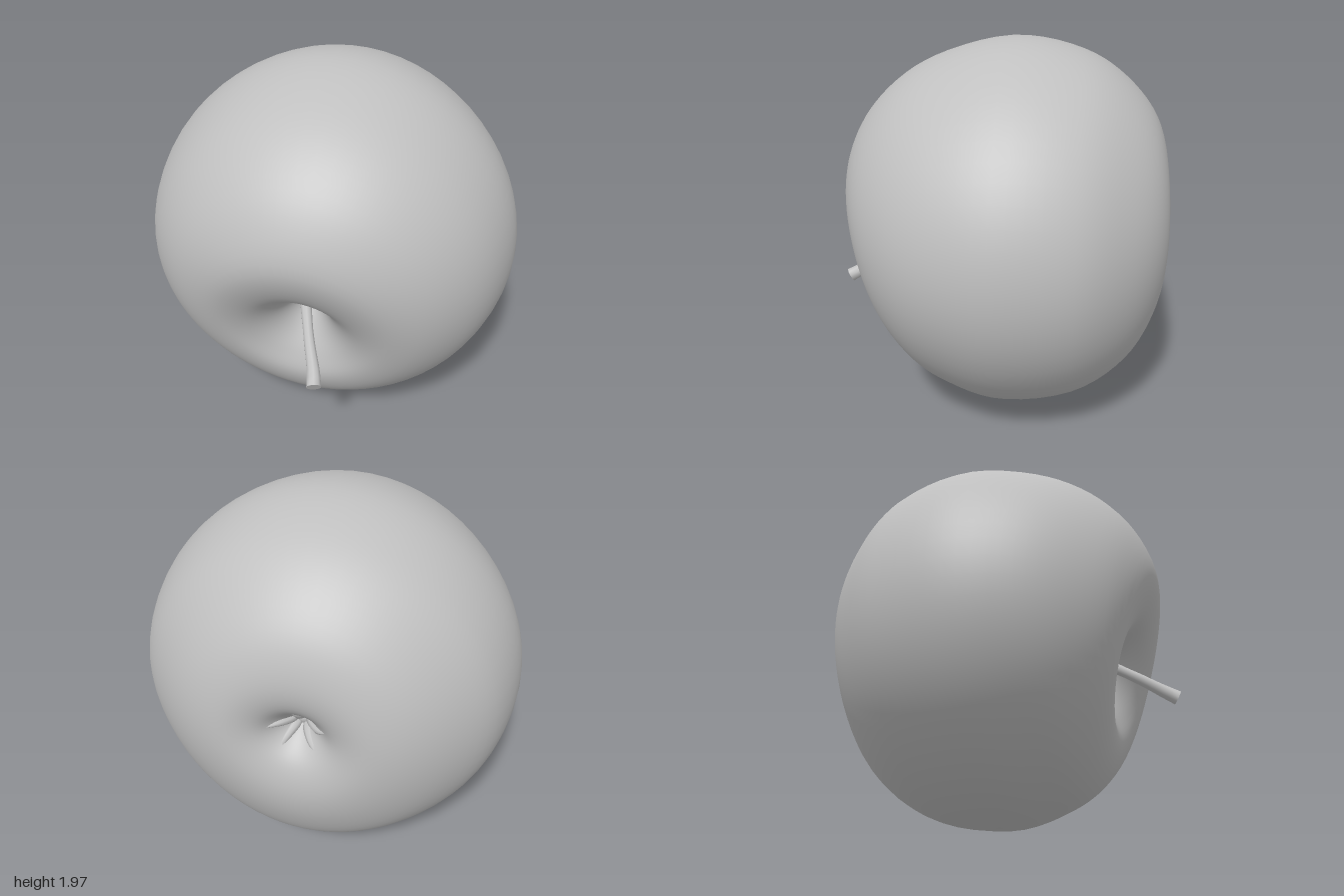
import * as THREE from 'three';

const V = (x, y, z) => new THREE.Vector3(x, y, z);
const SEG = 64, RINGS = 72;

// Three meridians from the stem pit to the calyx pit, as [z, y] or [z, half width]
const TOP = [[.36, .85], [.48, .9], [.62, .96], [.74, 1.06], [.82, 1.27], [.74, 1.53], [.56, 1.74], [.32, 1.88],
  [-.07, 1.97], [-.43, 1.9], [-.64, 1.77], [-.8, 1.58], [-.86, 1.38], [-.84, 1.23], [-.76, 1.13], [-.64, 1.04]];
const SIDE = [[.36, 0], [.46, .07], [.56, .16], [.64, .29], [.68, .45], [.63, .63], [.46, .82], [.24, .94],
  [-.07, 1], [-.43, .92], [-.65, .75], [-.81, .54], [-.87, .35], [-.84, .2], [-.76, .1], [-.64, 0]];
const BOTTOM = [[.36, .85], [.42, .76], [.48, .65], [.53, .53], [.55, .41], [.5, .28], [.39, .16], [.25, .08],
  [-.02, 0], [-.43, .06], [-.7, .25], [-.83, .49], [-.87, .7], [-.84, .86], [-.76, .96], [-.64, 1.04]];

// Smooth indexed surface from loops of points; each loop is closed
function skin(rows, seg) {
  const pos = [], idx = [];
  rows.forEach(row => row.forEach(p => pos.push(p.x, p.y, p.z)));
  for (let i = 0; i < rows.length - 1; i++) {
    for (let j = 0; j < seg; j++) {
      const a = i * seg + j, b = i * seg + (j + 1) % seg, c = a + seg, d = b + seg;
      idx.push(a, c, b, b, c, d);
    }
  }
  const g = new THREE.BufferGeometry();
  g.setAttribute('position', new THREE.Float32BufferAttribute(pos, 3));
  g.setIndex(idx);
  g.computeVertexNormals();
  return g;
}

function fruitGeometry() {
  const [top, side, bottom] = [TOP, SIDE, BOTTOM].map(m => new THREE.CatmullRomCurve3(m.map(([z, y]) => V(0, y, z))));
  const rows = [];
  for (let i = 0; i <= RINGS; i++) {
    const u = i / RINGS, t = top.getPoint(u), s = side.getPoint(u), b = bottom.getPoint(u);
    const mid = (t.y + b.y) / 2, half = (t.y - b.y) / 2, row = [];
    for (let j = 0; j < SEG; j++) {
      const a = j / SEG * Math.PI * 2, sn = Math.sin(a);
      // Barely flattened diagonals
      const k = 1 - .01 * Math.sin(2 * a) ** 2;
      row.push(V(s.y * Math.cos(a) * k, mid + half * sn * k,
        s.z + (t.z - b.z) / 2 * sn + ((t.z + b.z) / 2 - s.z) * sn * sn));
    }
    rows.push(row);
  }
  return skin(rows, SEG);
}

// Tapered bent rod through the points, with one radius per point
function rod(points, radii, seg = 10) {
  const curve = new THREE.CatmullRomCurve3(points), n = 14;
  const frames = curve.computeFrenetFrames(n), rows = [];
  for (let i = 0; i <= n; i++) {
    const u = i / n, f = u * (radii.length - 1), k = Math.min(Math.floor(f), radii.length - 2);
    const r = THREE.MathUtils.lerp(radii[k], radii[k + 1], f - k), c = curve.getPointAt(u);
    const ring = scale => Array.from({ length: seg }, (_, j) => {
      const a = -j / seg * Math.PI * 2;
      return c.clone().addScaledVector(frames.normals[i], Math.cos(a) * r * scale)
        .addScaledVector(frames.binormals[i], Math.sin(a) * r * scale);
    });
    if (i === 0) rows.push(ring(0));
    rows.push(ring(1));
    if (i === n) rows.push(ring(1), ring(0));
  }
  return skin(rows, seg);
}

export function createModel() {
  const model = new THREE.Group();
  model.name = 'apple';
  const grey = new THREE.MeshStandardMaterial({ color: 0xc0c0c0, side: THREE.DoubleSide });
  grey.name = 'plain grey';
  const add = (name, geometry, parent = model) => {
    const mesh = new THREE.Mesh(geometry, grey);
    mesh.name = name;
    parent.add(mesh);
    return mesh;
  };

  add('fruit', fruitGeometry());

  // Stem rises from the front pit and droops forward
  add('stem', rod([V(-.06, .86, .34), V(-.02, .84, .46), V(.05, .755, .65), V(.11, .68, .79), V(.13, .645, .855)],
    [.04, .03, .027, .03, .038]));

  // Dried calyx: five curled sepals around a small core in the back pit
  const calyx = new THREE.Group();
  calyx.name = 'calyx';
  calyx.position.set(0, 1.04, -.64);
  model.add(calyx);
  add('calyxCore', new THREE.SphereGeometry(.05, 12, 8), calyx);
  for (let i = 0; i < 5; i++) {
    const sepal = add('sepal', rod([V(0, .02, .02), V(0, .06, -.07), V(.01, .11, -.13), V(.03, .15, -.16)],
      [.025, .028, .02, .006], 8), calyx);
    sepal.rotation.z = i * Math.PI * 2 / 5 + .2 * (i % 2);
  }
  return model;
}
